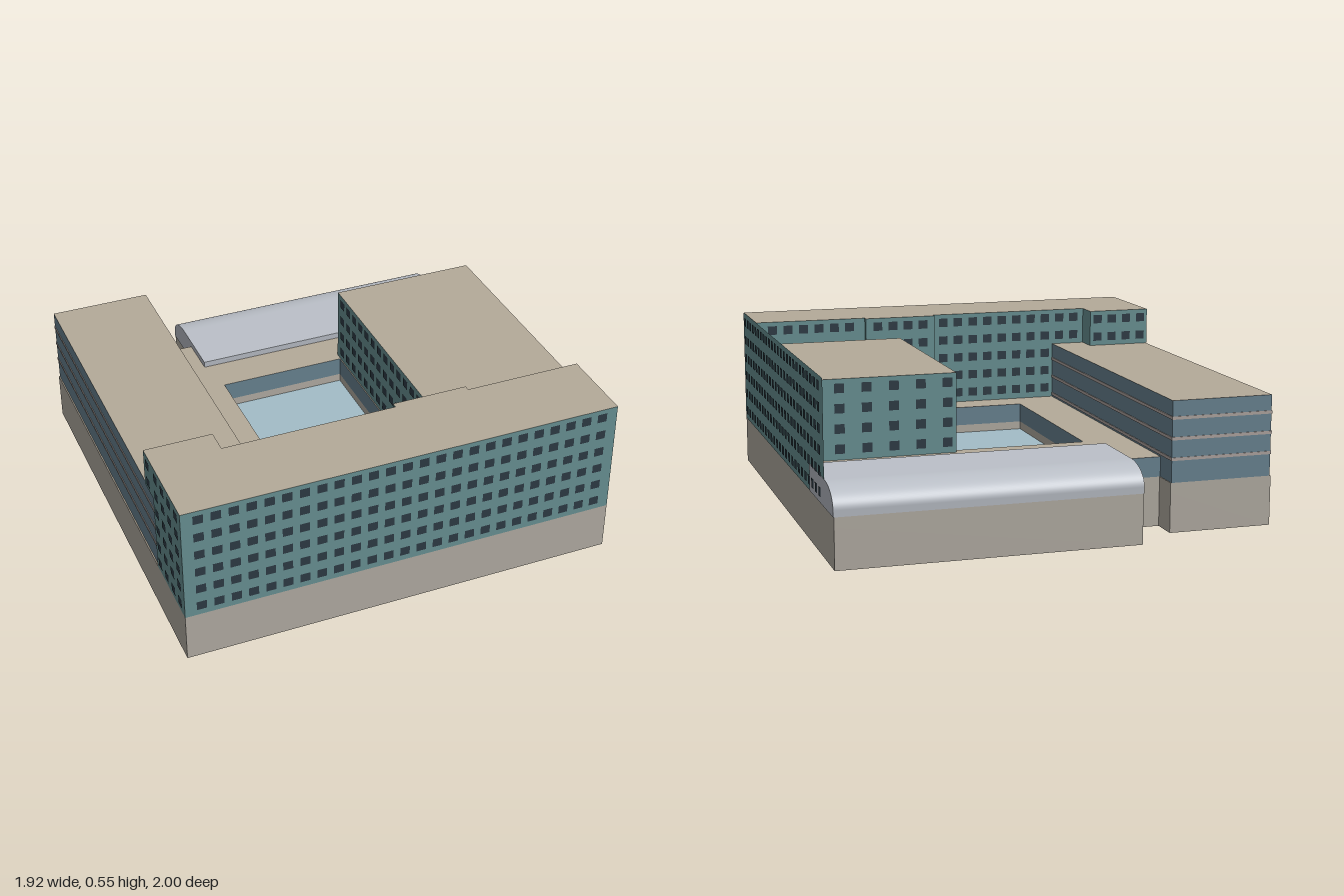
import * as THREE from 'three';
import { mergeGeometries } from 'three/addons/utils/BufferGeometryUtils.js';

const mat = (color) => new THREE.MeshStandardMaterial({ color });
const M = {
  roof: mat(0xb5ab9a), base: mat(0xb8b2a8), teal: mat(0x6c9698), pane: mat(0x2f3d47),
  blue: mat(0x6c8796), stripe: mat(0xb4aaa6), vault: mat(0xbcc1c9), glass: mat(0xa3bec8),
};
const STOREY = 0.0642, BASE = 0.16;
const level = (n) => BASE + n * STOREY;

function add(parent, name, geometry, material) {
  const mesh = new THREE.Mesh(geometry, material);
  mesh.name = name;
  parent.add(mesh);
  return mesh;
}

// Plan rectangle: a runs along the street front, b runs towards the back
const rect = (a0, b0, a1, b1) => [[a0, b0], [a1, b0], [a1, b1], [a0, b1]];
const toVectors = (pts) => pts.map(([a, b]) => new THREE.Vector2(a, b));

// Raise a plan outline from y0 to y1, with an optional hole
function slab(parent, name, outline, y0, y1, side, hole, cap = M.roof) {
  const shape = new THREE.Shape(toVectors(outline));
  if (hole) shape.holes.push(new THREE.Path(toVectors(hole)));
  const g = new THREE.ExtrudeGeometry(shape, { depth: y1 - y0, bevelEnabled: false });
  g.rotateX(-Math.PI / 2).translate(0, y0, 0);
  return add(parent, name, g, [cap, side]);
}

// Grid of panes on a facade starting at plan point (a, b), turned by ry
function windows(parent, name, a, b, ry, length, cols, rowFrom, rowTo, pitch, lift = 0.002) {
  const panes = [];
  const start = (length - (cols - 1) * pitch) / 2;
  for (let r = rowFrom; r < rowTo; r++)
    for (let c = 0; c < cols; c++)
      panes.push(new THREE.PlaneGeometry(0.032, 0.03)
        .translate(start + c * pitch, level(r) + 0.035, lift));
  const mesh = add(parent, name, mergeGeometries(panes), M.pane);
  mesh.position.set(a, 0, -b);
  mesh.rotation.y = ry;
}

export function createModel() {
  const model = new THREE.Group();
  model.name = 'cityBlock';
  const site = new THREE.Group();
  site.name = 'site';
  site.position.set(-0.287, 0, 1.0);
  site.rotation.y = 0.5085;
  model.add(site);

  const W = 1.426, D = 1.49, H = Math.PI / 2;
  const court = rect(0.495, 0.365, 0.929, 1.024);

  // Podium with a sunken courtyard
  const plot = [[0, 0], [W, 0], [W, D], [0.47, D], [0.47, 1.3], [0.34, 1.3], [0.34, 1.39], [0, 1.39]];
  slab(site, 'podium', plot, 0, 0.13, M.base);
  slab(site, 'podiumRim', plot, 0.13, BASE, M.base, court);
  slab(site, 'courtyardGlassRoof', court, 0.129, 0.133, M.glass, null, M.glass);

  // Glazed first storey around the courtyard
  slab(site, 'courtyardDeck',
    [[0.33, 0.25], [W, 0.25], [W, 1.16], [0.47, 1.16], [0.47, 1.3], [0.33, 1.3]],
    BASE, level(1), M.blue, court);

  // Front office bar with a shallow projection at the back
  const barTop = level(6);
  slab(site, 'frontBar',
    [[0, 0], [W, 0], [W, 0.26], [1.04, 0.26], [1.04, 0.278], [0.79, 0.278], [0.79, 0.26], [0, 0.26]],
    BASE, barTop, M.teal);
  slab(site, 'barReturn', rect(0, 0.26, 0.22, 0.34), 0.42, barTop, M.teal);
  windows(site, 'frontWindows', 0, 0, 0, W, 25, 0, 6, 0.055);
  windows(site, 'barEndWindows', 0, 0.26, -H, 0.26, 4, 0, 6, 0.062);
  windows(site, 'returnEndWindow', 0, 0.34, -H, 0.08, 1, 4, 6, 0.062);
  windows(site, 'returnBackWindows', 0.22, 0.34, Math.PI, 0.22, 4, 4, 6, 0.055);
  windows(site, 'barBackWindowsLeft', 0.79, 0.26, Math.PI, 0.57, 10, 1, 6, 0.055);
  windows(site, 'barBackWindowsMiddle', 1.04, 0.278, Math.PI, 0.25, 4, 1, 6, 0.055);
  windows(site, 'barBackWindowsRight', W, 0.26, Math.PI, W - 1.04, 6, 1, 6, 0.055);

  // Right office block
  slab(site, 'rightBlock', rect(0.932, 0.34, W, 1.052), BASE, level(5), M.teal);
  windows(site, 'blockCourtWindows', 0.932, 1.052, -H, 0.712, 13, 1, 5, 0.052);
  windows(site, 'blockBackWindows', W, 1.052, Math.PI, 0.494, 6, 1, 5, 0.087);
  windows(site, 'blockFrontWindows', 0.932, 0.34, 0, 0.494, 8, 1, 5, 0.055);

  // One-sided screen facade running past the block
  const screenLength = 1.367;
  const screen = add(site, 'rightScreenFacade',
    new THREE.PlaneGeometry(screenLength, barTop - BASE), M.teal);
  screen.position.set(W + 0.001, (barTop + BASE) / 2, -screenLength / 2);
  screen.rotation.y = H;
  windows(site, 'screenWindows', W, 0, H, screenLength, 25, 0, 6, 0.0525, 0.004);

  // Lower left wing with ribbon bands
  slab(site, 'leftWing', rect(0.004, 0.26, 0.338, 1.39), BASE, 0.42, M.blue);
  for (const y of [0.235, 0.3, 0.365])
    slab(site, 'ribbonBand', rect(0.002, 0.262, 0.34, 1.392), y - 0.005, y + 0.005, M.stripe, null, M.stripe);

  // Rear hall with a rounded back edge: profile in (b, y), swept along a
  const profile = new THREE.Shape();
  profile.moveTo(1.155, BASE);
  profile.lineTo(D, BASE);
  profile.lineTo(D, 0.18);
  profile.absellipse(1.375, 0.18, D - 1.375, 0.065, 0, H, false);
  profile.lineTo(1.155, 0.245);
  const hall = new THREE.ExtrudeGeometry(profile,
    { depth: W + 0.002 - 0.468, bevelEnabled: false, curveSegments: 14 });
  hall.rotateY(H).translate(0.468, 0, 0);
  // Smooth the curved edge
  const p = hall.attributes.position, n = hall.attributes.normal;
  for (let i = 0; i < p.count; i++) {
    const b = -p.getZ(i), y = p.getY(i);
    if (Math.abs(n.getX(i)) > 0.5 || b < 1.3749 || y < 0.1799) continue;
    const v = new THREE.Vector3(0, (y - 0.18) / 0.065 ** 2, -(b - 1.375) / 0.115 ** 2).normalize();
    n.setXYZ(i, v.x, v.y, v.z);
  }
  add(site, 'rearHall', hall, M.vault);

  return model;
}
